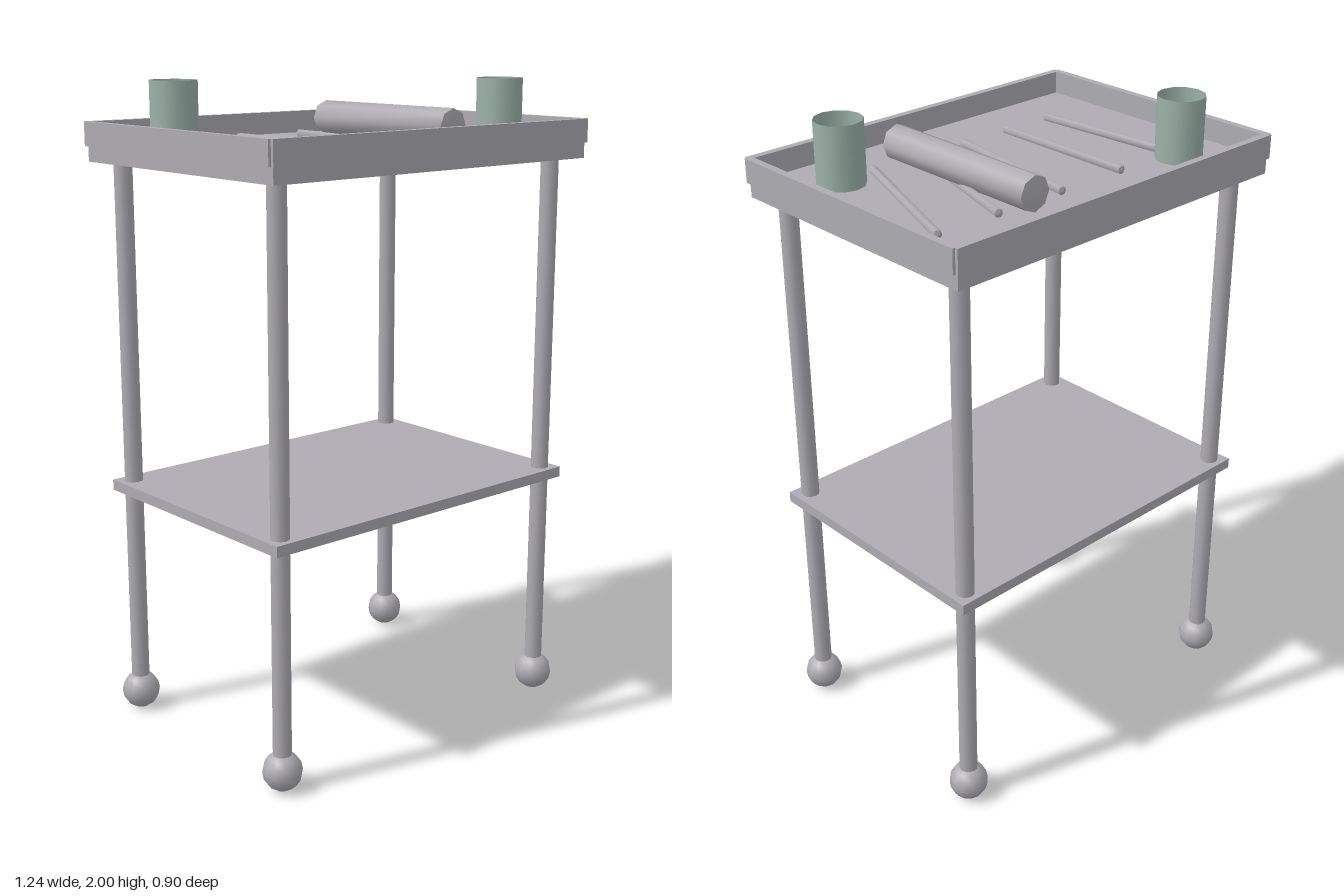
import * as THREE from 'three';
import { toCreasedNormals } from 'three/addons/utils/BufferGeometryUtils.js';

const metal = new THREE.MeshStandardMaterial({ color: 0xaeacb2 });
metal.name = 'greyMetal';
const glass = new THREE.MeshStandardMaterial({ color: 0x9db3aa, side: THREE.DoubleSide });
glass.name = 'paleGreenCup';

export function createModel() {
  const group = new THREE.Group();
  group.name = 'instrumentTrolley';

  const add = (name, geometry, material, x, y, z) => {
    const mesh = new THREE.Mesh(geometry, material);
    mesh.name = name;
    mesh.position.set(x, y, z);
    group.add(mesh);
    return mesh;
  };

  // Round bar along y with slightly domed ends
  const bar = (radius, length, dome, sides) => {
    const h = length / 2;
    const profile = [[0, -h], [radius, dome - h], [radius, h - dome], [0, h]];
    const lathe = new THREE.LatheGeometry(profile.map(([r, y]) => new THREE.Vector2(r, y)), sides);
    return toCreasedNormals(lathe, 0.9);
  };

  // Legs with ball feet
  const legGeometry = new THREE.CylinderGeometry(0.028, 0.028, 1.68, 12);
  const footGeometry = new THREE.SphereGeometry(0.06, 12, 8);
  for (const sx of [-1, 1]) {
    for (const sz of [-1, 1]) {
      add('leg', legGeometry, metal, sx * 0.537, 0.93, sz * 0.367);
      add('ballFoot', footGeometry, metal, sx * 0.537, 0.06, sz * 0.367);
    }
  }

  // Lower shelf and top tray
  add('lowerShelf', new THREE.BoxGeometry(1.17, 0.033, 0.825), metal, 0, 0.753, 0);
  add('trayPlate', new THREE.BoxGeometry(1.215, 0.05, 0.885), metal, 0, 1.785, 0);

  // Tray rims
  const longRim = new THREE.BoxGeometry(1.225, 0.072, 0.023);
  const shortRim = new THREE.BoxGeometry(0.024, 0.072, 0.88);
  for (const s of [-1, 1]) {
    add('longRim', longRim, metal, 0, 1.843, s * 0.438);
    add('shortRim', shortRim, metal, s * 0.609, 1.843, 0);
  }

  // Thin instruments laid out on the tray: x at the back end, x at the front end
  const instruments = [[-0.407, -0.37], [-0.193, -0.197], [0.047, -0.023], [0.287, 0.143], [0.503, 0.32]];
  const up = new THREE.Vector3(0, 1, 0);
  for (const [back, front] of instruments) {
    const direction = new THREE.Vector3(front - back, 0, 0.49);
    const rod = add('instrument', bar(0.013, direction.length() + 0.012, 0.007, 8), metal,
      (back + front) / 2, 1.823, -0.002);
    rod.quaternion.setFromUnitVectors(up, direction.normalize());
  }

  // Bandage roll
  add('roll', bar(0.053, 0.6, 0.011, 8), metal, 0.195, 1.866, -0.002).rotation.x = Math.PI / 2;

  // Open cups
  const cupGeometry = new THREE.CylinderGeometry(0.072, 0.072, 0.2, 12, 1, true);
  add('cup', cupGeometry, glass, 0.434, 1.9, 0.245);
  add('cup', cupGeometry, glass, -0.418, 1.9, -0.265);

  return group;
}
